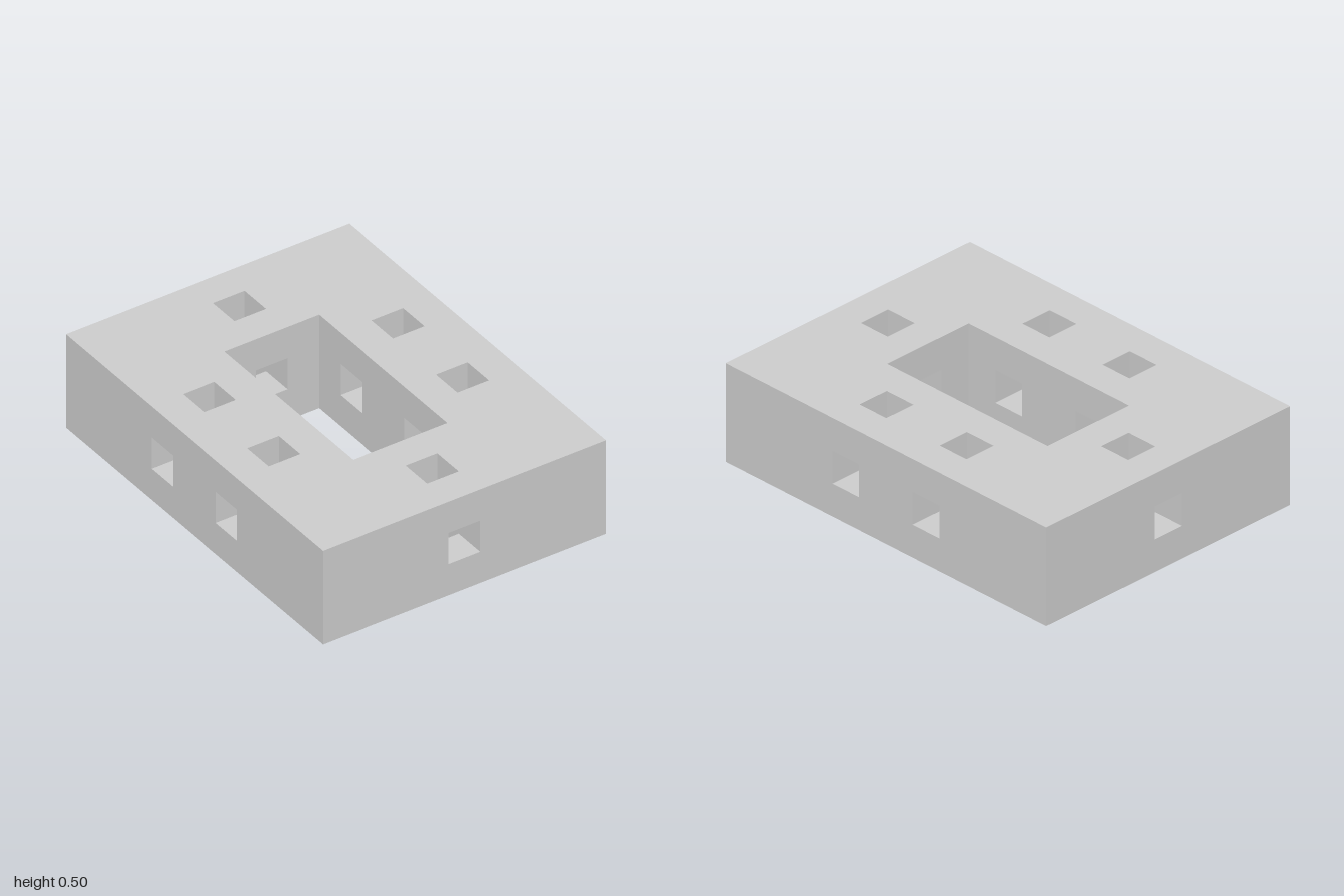
import * as THREE from 'three';
import { mergeGeometries, mergeVertices } from 'three/addons/utils/BufferGeometryUtils.js';

// The block lies on a 9 x 3 x 12 grid of cubic cells, each 1/6 unit wide.
const CELL = 1 / 6;
const NX = 9, NY = 3, NZ = 12;

function isSolid(i, j, k) {
  if (i < 0 || j < 0 || k < 0 || i >= NX || j >= NY || k >= NZ) return false;
  const x = Math.abs(i - 4);            // cells from the middle, 0..4
  const z = Math.abs(k - 5.5);          // 0.5..5.5
  const well = x <= 1 && z < 3;         // large central opening
  const endShaft = x === 0 && z === 4.5;
  const sideShaft = x === 3 && z === 1.5;
  const longTunnel = j === 1 && x === 0;
  const crossTunnel = j === 1 && z === 1.5;
  return !(well || endShaft || sideShaft || longTunnel || crossTunnel);
}

// One square face of a cell, looking along an axis direction.
function cellFace(i, j, k, dir) {
  const face = new THREE.PlaneGeometry(CELL, CELL);
  face.applyQuaternion(new THREE.Quaternion().setFromUnitVectors(new THREE.Vector3(0, 0, 1), dir));
  face.translate(
    (i - 4 + dir.x / 2) * CELL,
    (j + 0.5 + dir.y / 2) * CELL,
    (k - 5.5 + dir.z / 2) * CELL
  );
  return face;
}

export function createModel() {
  const directions = [
    [1, 0, 0], [-1, 0, 0], [0, 1, 0], [0, -1, 0], [0, 0, 1], [0, 0, -1],
  ].map((d) => new THREE.Vector3(...d));

  // Keep only faces between a solid cell and empty space.
  const faces = [];
  for (let i = 0; i < NX; i++)
    for (let j = 0; j < NY; j++)
      for (let k = 0; k < NZ; k++) {
        if (!isSolid(i, j, k)) continue;
        for (const d of directions)
          if (!isSolid(i + d.x, j + d.y, k + d.z)) faces.push(cellFace(i, j, k, d));
      }

  const geometry = mergeGeometries(faces);
  geometry.deleteAttribute('uv');
  const block = new THREE.Mesh(
    mergeVertices(geometry, 1e-4),
    new THREE.MeshStandardMaterial({ color: 0xcccccc, flatShading: true })
  );
  block.name = 'perforatedBlock';

  const model = new THREE.Group();
  model.name = 'block';
  model.add(block);
  return model;
}
